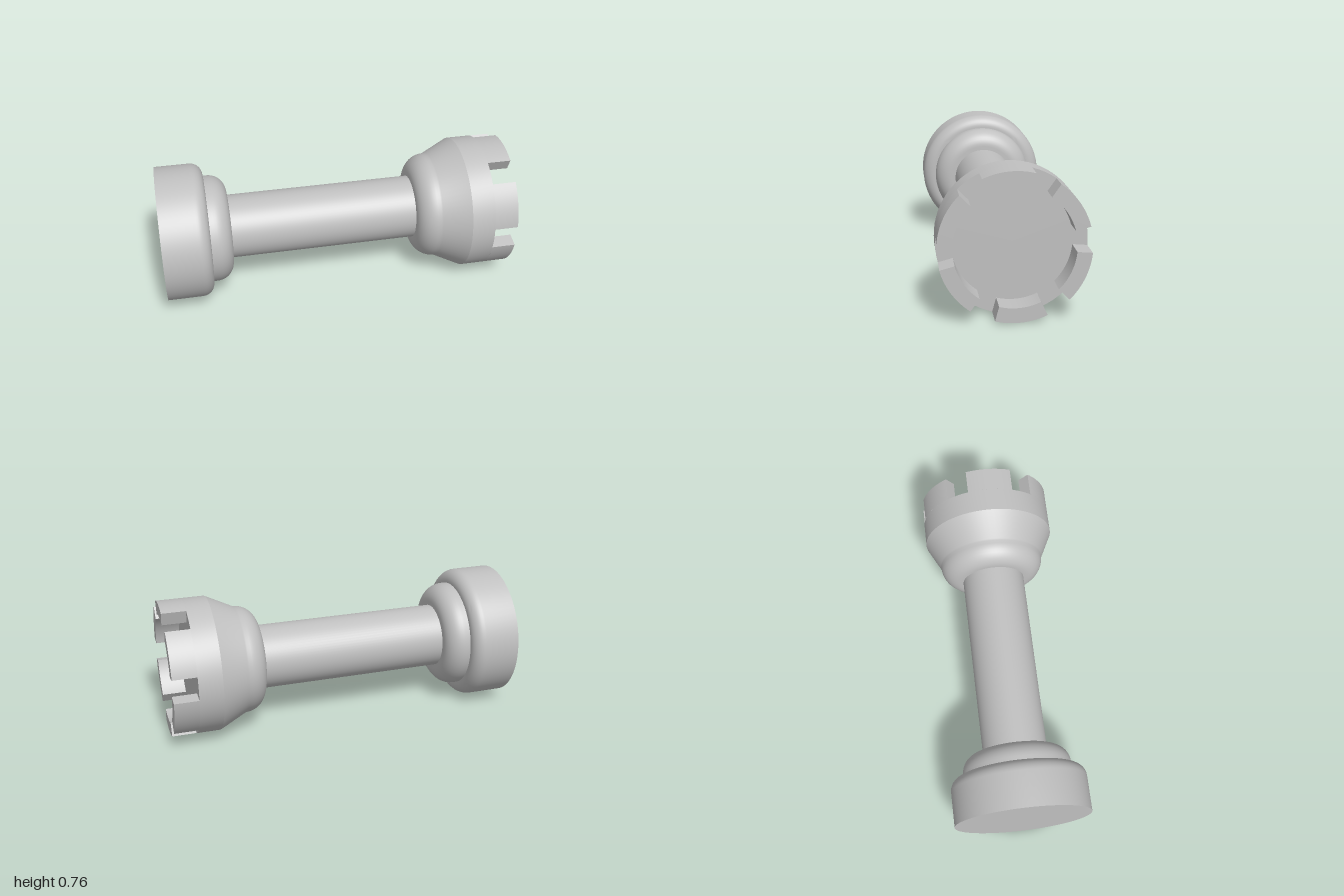
import * as THREE from 'three';
import { toCreasedNormals } from 'three/addons/utils/BufferGeometryUtils.js';

const R = 0.382;       // outer radius
const INNER = 0.305;   // inner radius of the crown
const FLOOR = 0.865;   // where the crown notches end
const SEGMENTS = 72;

// Quarter-round profile points [radius, x] around a corner centre
function fillet(radius, x, size, from, to, steps = 10) {
  return Array.from({ length: steps + 1 }, (_, i) => {
    const a = THREE.MathUtils.degToRad(from + ((to - from) * i) / steps);
    return [radius + size * Math.cos(a), x + size * Math.sin(a)];
  });
}

// Solid of revolution lying along the x axis
function turned(name, profile, material) {
  const points = profile.map(([r, x]) => new THREE.Vector2(r, x));
  const geometry = new THREE.LatheGeometry(points, SEGMENTS).rotateZ(-Math.PI / 2);
  const mesh = new THREE.Mesh(toCreasedNormals(geometry, 0.4), material);
  mesh.name = name;
  return mesh;
}

export function createModel() {
  const model = new THREE.Group();
  model.name = 'castlePiece';
  const grey = new THREE.MeshStandardMaterial({ color: 0xc0c0c0 });
  grey.name = 'light grey';

  const body = new THREE.Group();
  body.name = 'body';
  body.position.y = R;
  model.add(body);

  // Foot, collar, shaft and head
  body.add(
    turned('base', [[0, -1], [R, -1], ...fillet(R - 0.07, -0.803, 0.07, 0, 90), [0, -0.733]], grey),
    turned('collar', [[0, -0.75], [INNER, -0.75], ...fillet(INNER - 0.1, -0.71, 0.1, 0, 90), [0, -0.61]], grey),
    turned('shaft', [[0, -0.63], [0.182, -0.63], [0.182, 0.48], [0, 0.48]], grey),
    turned('head', [[0, 0.457], ...fillet(0.19, 0.572, 0.115, -90, 0),
      [0.308, 0.582], [R, 0.732], [R, FLOOR], [0, FLOOR]], grey),
  );

  // Six battlements, 40 degrees wide with 20 degree notches
  const from = THREE.MathUtils.degToRad(15);
  const to = THREE.MathUtils.degToRad(55);
  const sector = new THREE.Shape();
  sector.absarc(0, 0, R, from, to, false);
  sector.absarc(0, 0, INNER, to, from, true);
  sector.closePath();
  const block = new THREE.ExtrudeGeometry(sector, {
    depth: 1 - FLOOR, bevelEnabled: false, curveSegments: 10,
  }).rotateY(Math.PI / 2).translate(FLOOR, 0, 0);
  const blockGeometry = toCreasedNormals(block, 0.4);
  for (let i = 0; i < 6; i++) {
    const battlement = new THREE.Mesh(blockGeometry, grey);
    battlement.name = `battlement${i + 1}`;
    battlement.rotation.x = (i * Math.PI) / 3;
    body.add(battlement);
  }
  return model;
}
